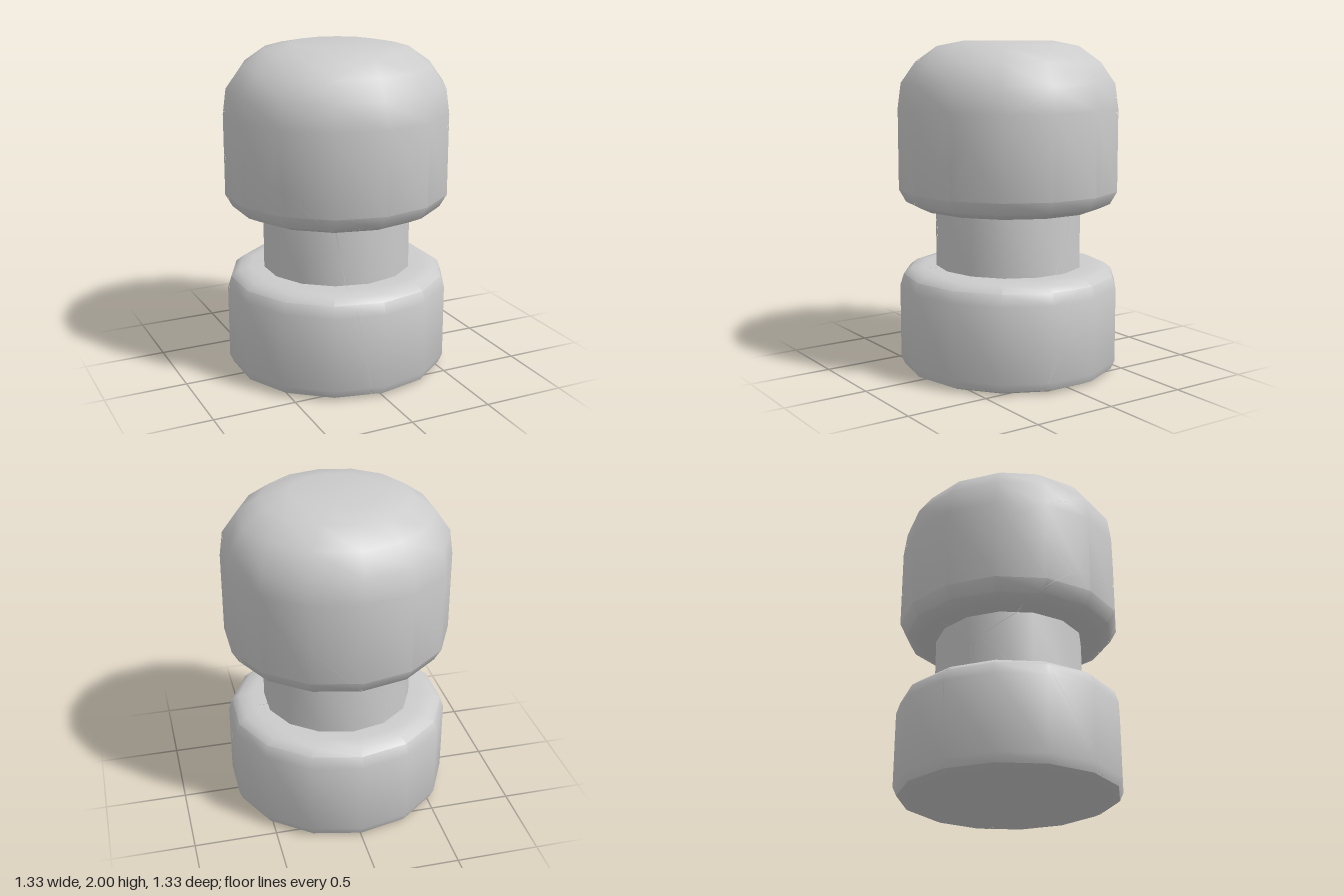
import * as THREE from 'three';
import { toCreasedNormals } from 'three/addons/utils/BufferGeometryUtils.js';

const SIDES = 14, WIDEN = 1.025, GAP = 0.0012;

// Profile of the whole post, radius and height from bottom to top
const PROFILE = [
  [0, 0], [0.6, 0], [0.645, 0.02], [0.667, 0.07],
  [0.667, 0.52], [0.645, 0.59], [0.6, 0.625], [0.53, 0.637], [0.445, 0.637],
  [0.445, 1], [0.55, 1], [0.625, 1.035], [0.667, 1.11],
  [0.667, 1.6], [0.647, 1.75], [0.56, 1.875], [0.43, 1.968], [0.27, 2], [0, 2],
];

// Each shard owns the points where its a*x + b*y + c*z + d is the largest
const SHARDS = {
  topShard: [-0.68, 1.35, -1.11, -2.133],
  headFrontShard: [0, 0, 0, 0],
  rightShard: [0.49, -0.71, -0.23, 0.93],
  backRightShard: [0.49, -1.025, -1.106, 1.105],
  frontLeftShard: [-0.69, -0.927, -0.472, 1.009],
  headLeftShard: [-0.82, 0.44, -0.71, -0.7],
  headBackShard: [-0.54, 0.02, -1.15, -0.005],
  baseBackShard: [-0.69, -1.03, -0.62, 1.045],
};

function makeLathe() {
  const points = PROFILE.map(([r, y]) => new THREE.Vector2(r, y));
  return new THREE.LatheGeometry(points, SIDES).scale(WIDEN, 1, 1);
}

// Keep the part of a polygon in front of a plane; corners are position + normal
function clip(poly, plane) {
  const dist = (p) => plane[0] * p[0] + plane[1] * p[1] + plane[2] * p[2] + plane[3];
  const out = [];
  poly.forEach((p, i) => {
    const q = poly[(i + 1) % poly.length];
    const a = dist(p), b = dist(q);
    if (a >= 0) out.push(p);
    if ((a >= 0) !== (b >= 0)) {
      const t = a / (a - b);
      out.push(p.map((v, k) => v + (q[k] - v) * t));
    }
  });
  return out;
}

// Cut the surface down to one shard, leaving hairline seams around it
function makeShard(surface, own, others) {
  const planes = others.map((other) => {
    const plane = own.map((v, k) => v - other[k]);
    plane[3] -= GAP * Math.hypot(plane[0], plane[1], plane[2]);
    return plane;
  });
  const pos = surface.attributes.position, nor = surface.attributes.normal;
  const positions = [], normals = [];
  for (let i = 0; i < pos.count; i += 3) {
    let poly = [0, 1, 2].map((k) => [
      pos.getX(i + k), pos.getY(i + k), pos.getZ(i + k),
      nor.getX(i + k), nor.getY(i + k), nor.getZ(i + k),
    ]);
    for (const plane of planes) poly = clip(poly, plane);
    for (let k = 1; k + 1 < poly.length; k++) {
      for (const p of [poly[0], poly[k], poly[k + 1]]) {
        positions.push(p[0], p[1], p[2]);
        normals.push(p[3], p[4], p[5]);
      }
    }
  }
  const geometry = new THREE.BufferGeometry();
  geometry.setAttribute('position', new THREE.Float32BufferAttribute(positions, 3));
  geometry.setAttribute('normal', new THREE.Float32BufferAttribute(normals, 3));
  return geometry;
}

export function createModel() {
  const group = new THREE.Group();
  group.name = 'crackedPost';
  const material = new THREE.MeshStandardMaterial({ color: 0xcccccc });
  const add = (name, geometry) => {
    const mesh = new THREE.Mesh(geometry, material);
    mesh.name = name;
    group.add(mesh);
  };

  // Outer surface split into shards
  const surface = toCreasedNormals(makeLathe(), 0.65);
  for (const [name, own] of Object.entries(SHARDS)) {
    const others = Object.values(SHARDS).filter((s) => s !== own);
    add(name, makeShard(surface, own, others));
  }

  // Solid core just below the surface, closing the seams from behind
  const core = makeLathe();
  const p = core.attributes.position, n = core.attributes.normal;
  for (let i = 0; i < p.count; i++) {
    p.setXYZ(i, p.getX(i) - n.getX(i) * 0.012, p.getY(i) - n.getY(i) * 0.012, p.getZ(i) - n.getZ(i) * 0.012);
  }
  add('core', core);
  return group;
}
